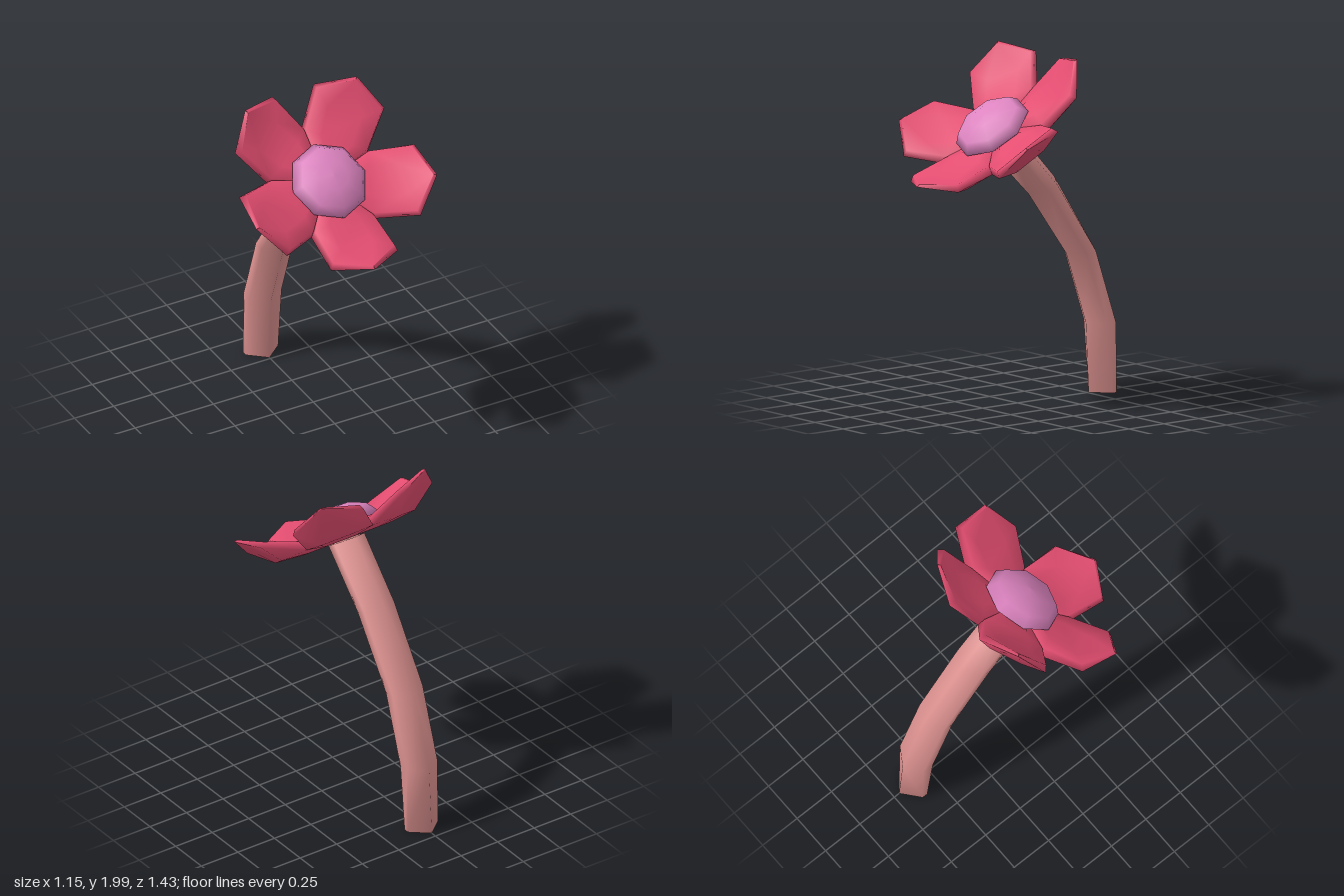
import * as THREE from 'three';

// Skin a closed surface over equal-length loops, with fan caps at both ends.
// Strips listed in "flipped" are split along their other diagonal.
function loft(loops, flipped) {
  const n = loops[0].length;
  const index = [];
  for (let s = 0; s < loops.length - 1; s++) {
    for (let i = 0; i < n; i++) {
      const a = s * n + i, b = s * n + (i + 1) % n;
      if (flipped.includes(i)) index.push(a, b, a + n, b, b + n, a + n);
      else index.push(a, b, b + n, a, b + n, a + n);
    }
  }
  const last = (loops.length - 1) * n;
  for (let i = 1; i < n - 1; i++) {
    index.push(0, i + 1, i, last, last + i, last + i + 1);
  }
  const geo = new THREE.BufferGeometry();
  geo.setAttribute('position', new THREE.Float32BufferAttribute(loops.flat(2), 3));
  geo.setIndex(index);
  geo.computeVertexNormals();
  return geo;
}

function makeMesh(name, geometry, color) {
  const mesh = new THREE.Mesh(geometry, new THREE.MeshStandardMaterial({ color, side: THREE.DoubleSide }));
  mesh.name = name;
  return mesh;
}

// Six-sided ring spanning a front and a back point, each given as [z, y];
// shoulder is how far along the span the side corners sit.
function stemRing([zf, yf], [zb, yb], shoulder = 0.33) {
  const at = (x, t) => [x, yf + (yb - yf) * t, zf + (zb - zf) * t];
  const w = 0.103, s = shoulder;
  return [at(0, 0), at(w, s), at(w, 1 - s), at(0, 1), at(-w, 1 - s), at(-w, s)];
}

// Petal section from half of its points, each [out, half width, height].
function petalRing(underside, outerRim, innerRim, floor) {
  const half = [underside, outerRim, innerRim, floor];
  const right = half.map(([out, w, h]) => [w, h, out]);
  const left = half.map(([out, w, h]) => [-w, h, out]).reverse();
  return [...right, ...left];
}

export function createModel() {
  const model = new THREE.Group();
  model.name = 'flower';

  // Bent stem, pinched to a diamond at the foot
  model.add(makeMesh('stem', loft([
    stemRing([-0.51, 0], [-0.715, 0], 0.42),
    stemRing([-0.49, 0.4], [-0.69, 0.4]),
    stemRing([-0.35, 0.81], [-0.545, 0.83]),
    stemRing([-0.08, 1.18], [-0.265, 1.26]),
    stemRing([0.2, 1.46], [0.03, 1.58]),
  ], [3, 4, 5]), 0xdd9290));

  // Tilted flower head
  const head = new THREE.Group();
  head.name = 'flowerHead';
  head.position.set(0, 1.56, 0.14);
  head.rotation.x = 0.667;
  model.add(head);

  // Five thick, cupped petals with raised tips
  const petalGeo = loft([
    petalRing([0.02, 0.01, -0.045], [0.02, 0.02, -0.03], [0.02, 0.02, 0.01], [0.02, 0.01, 0.03]),
    petalRing([0.25, 0.09, -0.045], [0.275, 0.2, -0.025], [0.265, 0.186, 0.025], [0.25, 0.09, 0.035]),
    petalRing([0.41, 0.1, -0.03], [0.518, 0.213, 0.078], [0.49, 0.196, 0.106], [0.42, 0.1, 0.065]),
    petalRing([0.603, 0.001, 0.16], [0.606, 0.002, 0.165], [0.587, 0.002, 0.168], [0.583, 0.001, 0.166]),
  ], [0, 4]);
  for (let i = 0; i < 5; i++) {
    const petal = makeMesh('petal' + (i + 1), petalGeo, 0xe34d70);
    petal.rotation.y = i * Math.PI * 2 / 5;
    head.add(petal);
  }

  // Domed eight-sided centre
  const profile = [[0, -0.01], [0.15, 0], [0.23, 0.05], [0.187, 0.107], [0.09, 0.145], [0, 0.152]]
    .map(([r, y]) => new THREE.Vector2(r, y));
  const centre = makeMesh('flowerCentre', new THREE.LatheGeometry(profile, 8), 0xdd84c0);
  centre.position.z = 0.012;
  head.add(centre);

  return model;
}
